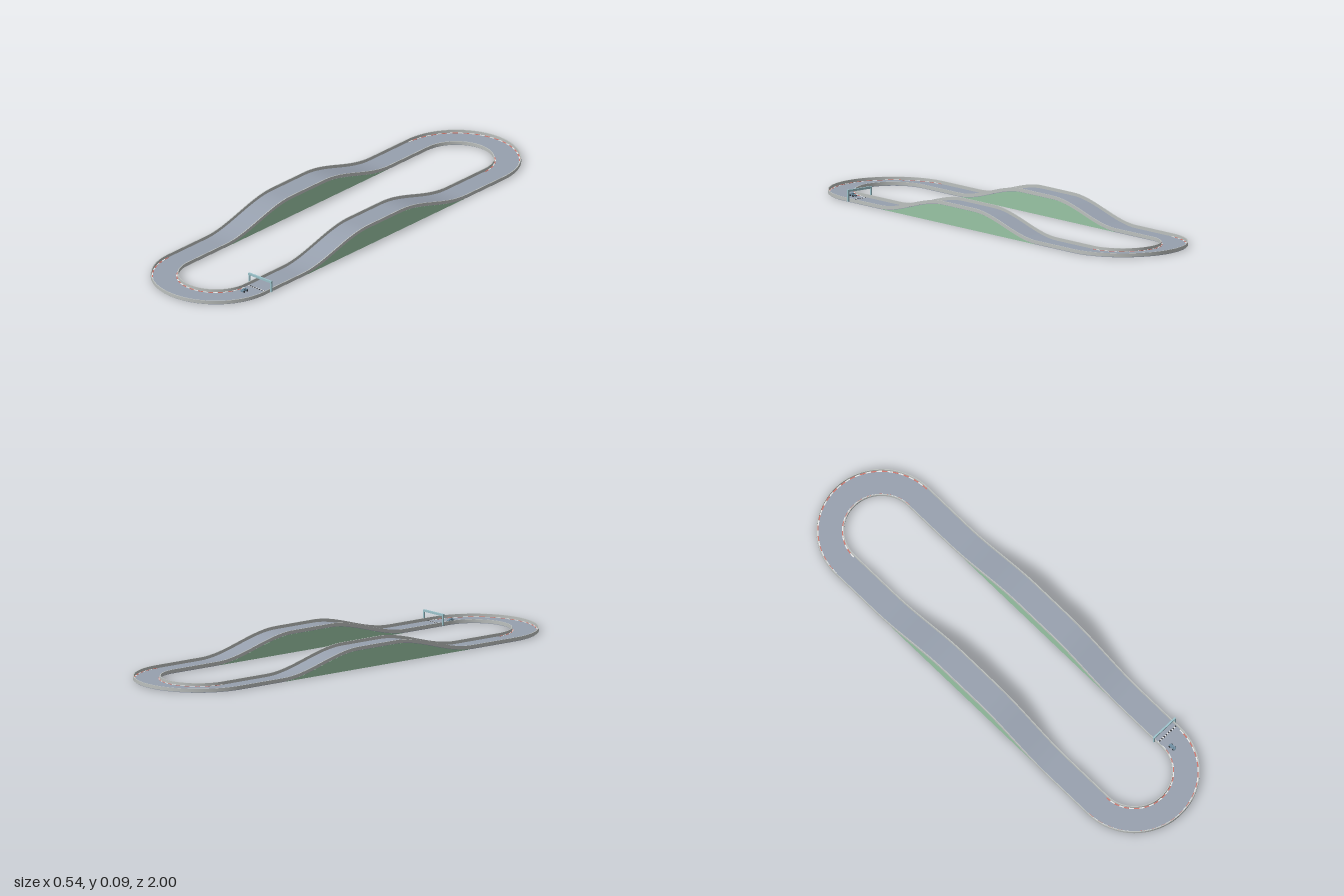
import * as THREE from 'three';
import { mergeGeometries } from 'three/addons/utils/BufferGeometryUtils.js';

const R = 0.2095, HALF = 0.734, HILL = 0.076, ROAD_TOP = 0.004, ROAD_HALF = 0.053, CX = -0.004;

// Height of the hill along each straight
const rise = (z) => HILL * (1 - THREE.MathUtils.smoothstep(Math.abs(z), 0.1, 0.5));

// A centreline point with its outward direction
const arcPoint = (a, side) => ({
  x: side * R * Math.cos(a), z: -side * (HALF + R * Math.sin(a)),
  nx: side * Math.cos(a), nz: -side * Math.sin(a),
});

function loopPath() {
  const path = [];
  for (const side of [1, -1]) {
    for (let i = 0; i < 64; i++) {
      path.push({ x: side * R, z: side * HALF * (1 - i / 32), nx: side, nz: 0 });
    }
    for (let i = 0; i < 40; i++) path.push(arcPoint((i / 40) * Math.PI, side));
  }
  return path;
}

// Sweep a rectangle (offset d0..d1, height y0..y1) along a path
function sweep(path, d0, d1, y0, y1, closed) {
  const corners = [[d0, y0], [d1, y0], [d1, y1], [d0, y1]];
  const pos = [], index = [], n = path.length;
  for (let k = 0; k < 4; k++) {
    const base = pos.length / 3;
    for (const p of path) {
      for (const [d, y] of [corners[k], corners[(k + 1) % 4]]) {
        pos.push(p.x + p.nx * d, y + rise(p.z), p.z + p.nz * d);
      }
    }
    for (let i = 0; i < (closed ? n : n - 1); i++) {
      const a = base + i * 2, b = base + ((i + 1) % n) * 2;
      index.push(a, b, a + 1, b, b + 1, a + 1);
    }
  }
  const g = new THREE.BufferGeometry();
  g.setAttribute('position', new THREE.Float32BufferAttribute(pos, 3));
  g.setIndex(index);
  g.computeVertexNormals();
  return g;
}

export function createModel() {
  const model = new THREE.Group();
  const track = new THREE.Group();
  track.name = 'track';
  track.position.x = CX;
  model.add(track);

  const material = (name, color) => {
    const m = new THREE.MeshStandardMaterial({ color });
    m.name = name;
    return m;
  };
  const asphalt = material('asphalt', 0x97a0ae);
  const steel = material('rail grey', 0xbcc0be);
  const grass = material('grass green', 0x98c4a4);
  const red = material('kerb red', 0xd0746a);
  const white = material('white', 0xf0f0f0);
  const blue = material('gate blue', 0x9cc3cb);
  const carBlue = material('car blue', 0x6f8fa3);
  const dark = material('tyre dark', 0x33363c);

  const add = (parent, name, geometry, mat, x = 0, y = 0, z = 0) => {
    const mesh = new THREE.Mesh(geometry, mat);
    mesh.name = name;
    mesh.position.set(x, y, z);
    parent.add(mesh);
    return mesh;
  };
  const box = (w, h, d) => new THREE.BoxGeometry(w, h, d);

  // Road and guard rails
  const path = loopPath();
  add(track, 'road', sweep(path, -ROAD_HALF, ROAD_HALF, 0, ROAD_TOP, true), asphalt);
  add(track, 'outerRail', sweep(path, 0.0525, 0.0565, 0.003, 0.017, true), steel);
  add(track, 'innerRail', sweep(path, -0.0565, -0.0525, 0.003, 0.017, true), steel);

  // Striped kerbs around both bends
  const stripes = [[], []];
  for (const side of [1, -1]) {
    for (const [d0, d1, count] of [[0.0475, 0.0525, 36], [-0.0525, -0.0475, 24]]) {
      for (let i = 0; i < count; i++) {
        const piece = [0, 0.5, 1].map((t) => arcPoint(((i + t) / count) * Math.PI, side));
        stripes[i % 2].push(sweep(piece, d0, d1, ROAD_TOP - 0.001, ROAD_TOP + 0.001, false));
      }
    }
  }
  add(track, 'redKerbs', mergeGeometries(stripes[0]), red);
  add(track, 'whiteKerbs', mergeGeometries(stripes[1]), white);

  // Grass walls under the hills
  const bank = new THREE.Shape();
  bank.moveTo(-0.49, 0);
  for (let i = 0; i <= 56; i++) {
    const z = -0.49 + (0.98 * i) / 56;
    bank.lineTo(z, rise(z) + 0.001);
  }
  bank.lineTo(0.49, 0);
  const bankGeometry = new THREE.ExtrudeGeometry(bank, { depth: 0.002, bevelEnabled: false });
  bankGeometry.translate(0, 0, -0.001).rotateY(-Math.PI / 2);
  for (const side of [1, -1]) {
    for (const d of [-0.0525, 0.0525]) add(track, 'embankment', bankGeometry, grass, side * R + d);
  }

  // Chequered start line
  for (let i = 0; i < 16; i++) {
    add(track, 'startLineTile', box(0.0064, 0.001, 0.006), i % 2 ? dark : white,
      R - 0.048 + i * 0.0064, ROAD_TOP + 0.0005, 0.711);
  }

  // Start gate
  const gate = new THREE.Group();
  gate.name = 'startGate';
  gate.position.set(0.205, 0, 0.696);
  model.add(gate);
  for (const side of [1, -1]) add(gate, 'gatePost', box(0.006, 0.046, 0.006), blue, side * 0.06, 0.027, 0);
  add(gate, 'gateBeam', box(0.126, 0.009, 0.007), blue, 0, 0.0475, 0);

  // Small car waiting behind the line
  const car = new THREE.Group();
  car.name = 'car';
  car.position.set(0.181, ROAD_TOP, 0.767);
  model.add(car);
  add(car, 'carBody', box(0.013, 0.006, 0.03), carBlue, 0, 0.006, 0);
  add(car, 'carCabin', box(0.01, 0.005, 0.013), carBlue, 0, 0.0115, 0.002);
  const wheel = new THREE.CylinderGeometry(0.004, 0.004, 0.004, 12).rotateZ(Math.PI / 2);
  for (const x of [-0.0075, 0.0075]) {
    for (const z of [-0.009, 0.009]) add(car, 'wheel', wheel, dark, x, 0.004, z);
  }

  return model;
}
